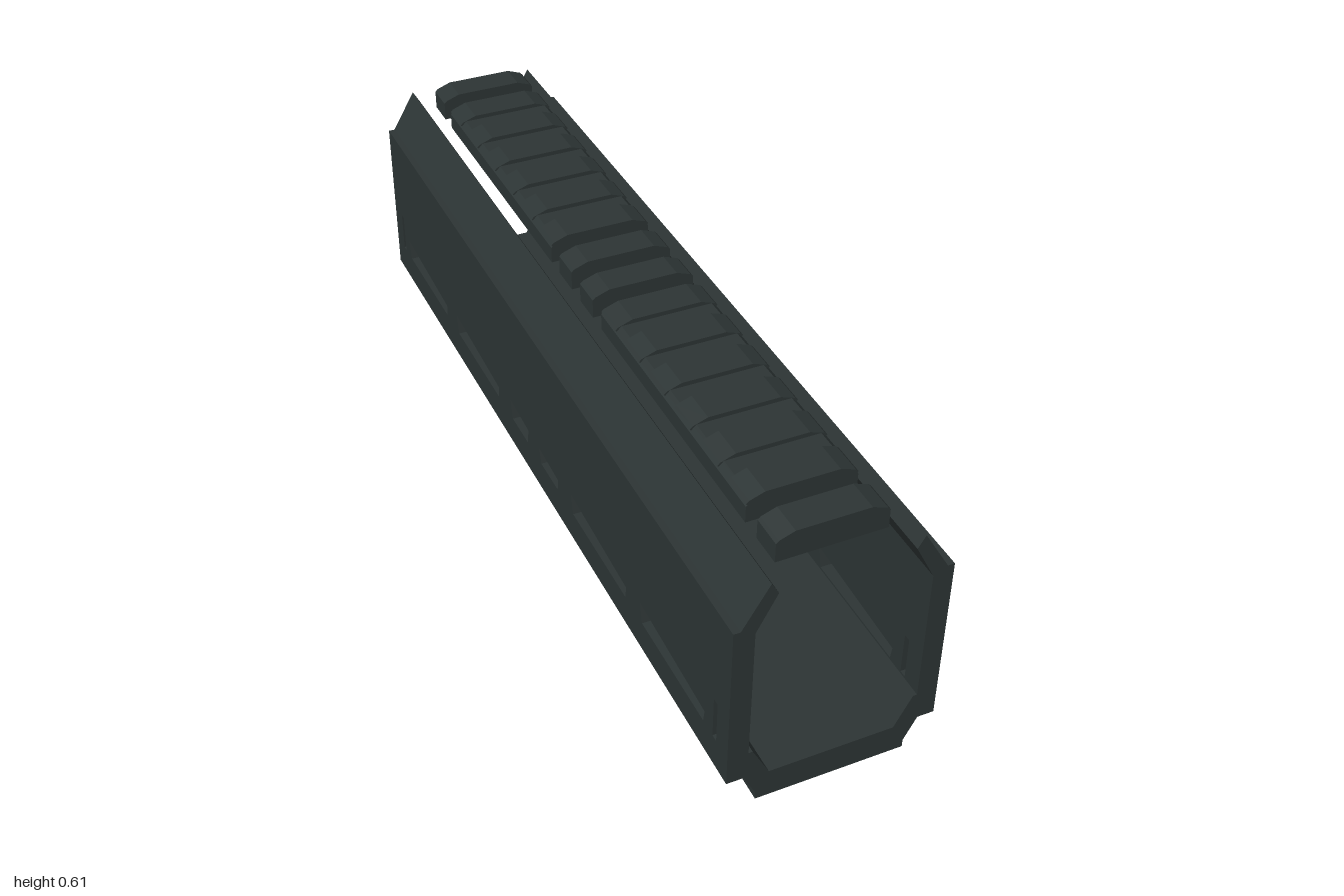
import * as THREE from 'three';

const CX = -0.01; // centre line of the tube; the bolts make the left side stick out

const gunmetal = new THREE.MeshStandardMaterial({ color: 0x2d3535 });
gunmetal.name = 'gunmetal';

const toShape = (pts) => new THREE.Shape(pts.map(([x, y]) => new THREE.Vector2(x, y)));

// Close a half profile with its mirror image
const mirrored = (half) => [...half, ...half.map(([x, y]) => [-x, y]).reverse()];

// Extrude an x/y profile from z0 to z1
function alongZ(pts, z0, z1) {
  const g = new THREE.ExtrudeGeometry(toShape(pts), { depth: z1 - z0, bevelEnabled: false });
  return g.translate(CX, 0, z0);
}

function add(parent, name, geometry) {
  const mesh = new THREE.Mesh(geometry, gunmetal);
  mesh.name = name;
  parent.add(mesh);
  return mesh;
}

// Side panel with tapered vent slots and a thin slit near each end
function wallGeometry() {
  const shape = toShape([[-1, 0.14], [1, 0.14], [1, 0.465], [-1, 0.465]]);
  const hole = (pts) => shape.holes.push(new THREE.Path(pts.map(([z, y]) => new THREE.Vector2(-z, y))));
  const slots = [
    [0.9, 0.596, 0.194], [0.527, 0.227, 0.194], [0.152, 0.037, 0.183],
    [-0.03, -0.144, 0.194], [-0.222, -0.521, 0.194], [-0.596, -0.896, 0.194],
  ];
  for (const [a, b, top] of slots) {
    const low = a === -0.03 ? 0.185 : 0.175;
    hole([[a - 0.005, 0.145], [b + 0.011, 0.145], [b, top], [a, low]]);
  }
  for (const z of [0.944, -0.94]) {
    hole([[z + 0.008, 0.145], [z - 0.008, 0.145], [z - 0.008, 0.245], [z + 0.008, 0.245]]);
  }
  const g = new THREE.ExtrudeGeometry(shape, { depth: 0.045, bevelEnabled: false });
  return g.rotateY(Math.PI / 2);
}

export function createModel() {
  const model = new THREE.Group();
  model.name = 'handguard';

  // Trough-shaped underside, open at the top
  const trough = mirrored([
    [0.165, 0], [0.165, 0.018], [0.193, 0.073], [0.23, 0.073], [0.23, 0.14], [0.176, 0.14], [0.138, 0.067],
  ]);
  add(model, 'underside', alongZ(trough, -1, 1));

  // Slotted side walls
  add(model, 'leftWall', wallGeometry()).position.x = CX + 0.185;
  add(model, 'rightWall', wallGeometry()).position.x = CX - 0.23;

  // Slanted upper edges
  const lip = [[0.185, 0.465], [0.185, 0.457], [0.23, 0.457], [0.23, 0.472], [0.215, 0.472], [0.158, 0.568], [0.142, 0.54]];
  add(model, 'leftUpperEdge', alongZ(lip.slice(1), -1, 1));
  add(model, 'rightUpperEdge', alongZ(lip.slice(1).map(([x, y]) => [-x, y]), -1, 1));

  // Top rail: two long ribbed sections and four single blocks
  const rail = new THREE.Group();
  rail.name = 'topRail';
  model.add(rail);
  const base = mirrored([[0.118, 0.55], [0.118, 0.588], [0.104, 0.602]]);
  const tooth = mirrored([[0.118, 0.55], [0.118, 0.594], [0.112, 0.6], [0.079, 0.612]]);
  const rib = mirrored([[0.114, 0.59], [0.118, 0.594], [0.112, 0.6], [0.079, 0.612]]);
  for (const [z0, z1] of [[0.864, 0.936], [0.027, 0.097], [-0.092, -0.021], [-0.932, -0.861]]) {
    add(rail, 'railBlock', alongZ(tooth, z0, z1));
  }
  for (const start of [0.143, -0.814]) {
    add(rail, 'railBase', alongZ(base, start, start + 0.675));
    for (let i = 0; i < 6; i++) {
      const z = start + i * 0.12;
      add(rail, 'railRib', alongZ(rib, z, z + 0.075));
    }
  }

  // Bolt heads on the left wall
  for (const z of [0.877, -0.869]) {
    const g = new THREE.CylinderGeometry(0.026, 0.026, 0.022, 8).toNonIndexed();
    g.computeVertexNormals();
    g.rotateZ(-Math.PI / 2);
    add(model, 'bolt', g).position.set(0.229, 0.295, z);
  }
  return model;
}
